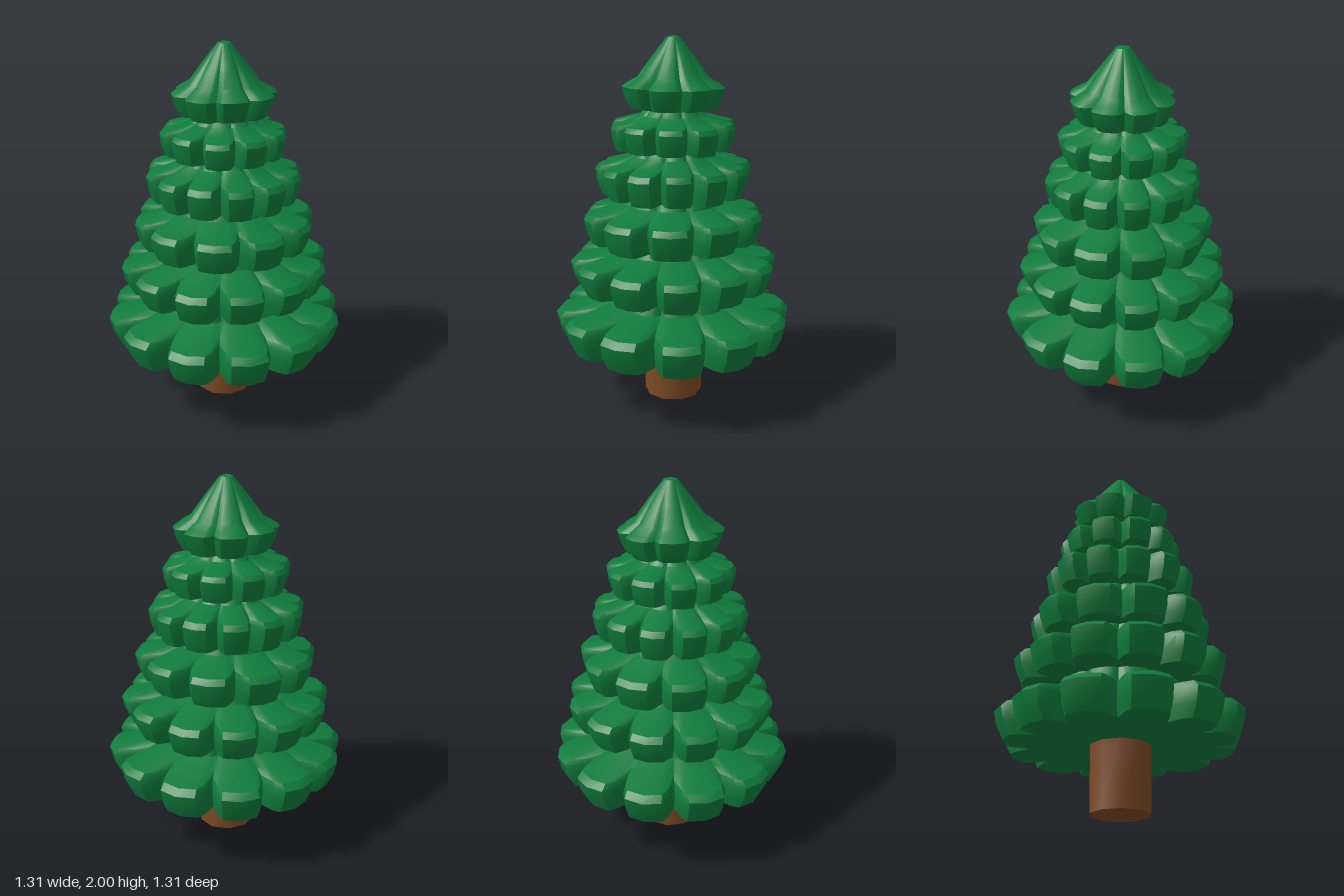
import * as THREE from 'three';
import { toCreasedNormals } from 'three/addons/utils/BufferGeometryUtils.js';

// One lobe of a tier outline: [fraction of the lobe spacing, depth of the notch (0 = tip, 1 = valley)]
const LOBE = [[-0.5, 1], [-0.38, 0.42], [-0.29, 0.12], [0, 0], [0.29, 0.12], [0.38, 0.42]];

// Small repeatable variation between lobes
const vary = (n) => Math.sin(n * 12.9898) * 0.5 + Math.sin(n * 4.137) * 0.5;

// Lofts a scalloped tier through rings of [radius, y, notch depth as a share of radius]
function scallopedTier(rings, lobes, seed) {
  const positions = [];
  const index = [];
  const count = lobes * LOBE.length;
  for (const [radius, y, notch] of rings) {
    for (let i = 0; i < lobes; i++) {
      const wobble = vary(seed + i);
      for (const [offset, depth] of LOBE) {
        const angle = ((i + offset) / lobes) * Math.PI * 2;
        const lobeWeight = notch > 0.1 ? 1 - depth : 0;
        const r = radius * (1 - notch * depth) * (1 + 0.012 * (wobble - 1) * lobeWeight);
        const lift = lobeWeight * wobble * 0.008;
        positions.push(r * Math.cos(angle), y + lift, r * Math.sin(angle));
      }
    }
  }
  for (let k = 0; k < rings.length - 1; k++) {
    for (let i = 0; i < count; i++) {
      const a = k * count + i;
      const b = k * count + ((i + 1) % count);
      index.push(a, a + count, b, b, a + count, b + count);
    }
  }
  const geometry = new THREE.BufferGeometry();
  geometry.setAttribute('position', new THREE.Float32BufferAttribute(positions, 3));
  geometry.setIndex(index);
  return toCreasedNormals(geometry, 0.6);
}

export function createModel() {
  const tree = new THREE.Group();
  tree.name = 'pineTree';

  const needleGreen = new THREE.MeshStandardMaterial({ color: 0x0f7b3c });
  needleGreen.name = 'needleGreen';
  const barkBrown = new THREE.MeshStandardMaterial({ color: 0x7d4a24 });
  barkBrown.name = 'barkBrown';

  // Trunk
  const trunk = new THREE.Mesh(
    toCreasedNormals(new THREE.CylinderGeometry(0.165, 0.16, 0.38, 10), 0.7), barkBrown);
  trunk.position.y = 0.19;
  trunk.name = 'trunk';
  tree.add(trunk);

  // Branch tiers: rim radius, underside y, rim height, neck radius, neck y, lobe count
  const tiers = [
    [0.665, 0.345, 0.18, 0.33, 0.67, 12],
    [0.58, 0.66, 0.16, 0.29, 0.93, 12],
    [0.5, 0.915, 0.16, 0.25, 1.18, 10],
    [0.425, 1.17, 0.16, 0.2, 1.42, 12],
    [0.345, 1.415, 0.135, 0.15, 1.63, 10],
  ];
  tiers.forEach(([r, y, h, neckR, neckY, lobes], i) => {
    const rings = [
      [0, y + 0.005, 0],
      [r * 0.62, y + 0.005, 0.05],
      [r * 0.92, y, 0.23],
      [r * 0.975, y + h * 0.4, 0.23],
      [r, y + h * 0.82, 0.24],
      [r * 0.95, y + h, 0.24],
      [r * 0.76, y + h * 1.12, 0.14],
      [(neckR + r * 0.62) / 2, y + h * 1.3, 0.09],
      [neckR, neckY, 0.05],
      [0, neckY + 0.005, 0],
    ];
    const tier = new THREE.Mesh(scallopedTier(rings, lobes, i * 17 + 3), needleGreen);
    tier.name = `branchTier${i + 1}`;
    tree.add(tier);
  });

  // Pointed crown
  const crownRings = [
    [0, 1.625, 0],
    [0.15, 1.625, 0.05],
    [0.235, 1.625, 0.2],
    [0.26, 1.67, 0.2],
    [0.28, 1.735, 0.2],
    [0.25, 1.755, 0.2],
    [0.195, 1.785, 0.15],
    [0.115, 1.89, 0.1],
    [0.035, 1.99, 0],
    [0, 2, 0],
  ];
  const crown = new THREE.Mesh(scallopedTier(crownRings, 8, 91), needleGreen);
  crown.name = 'crown';
  tree.add(crown);

  return tree;
}
